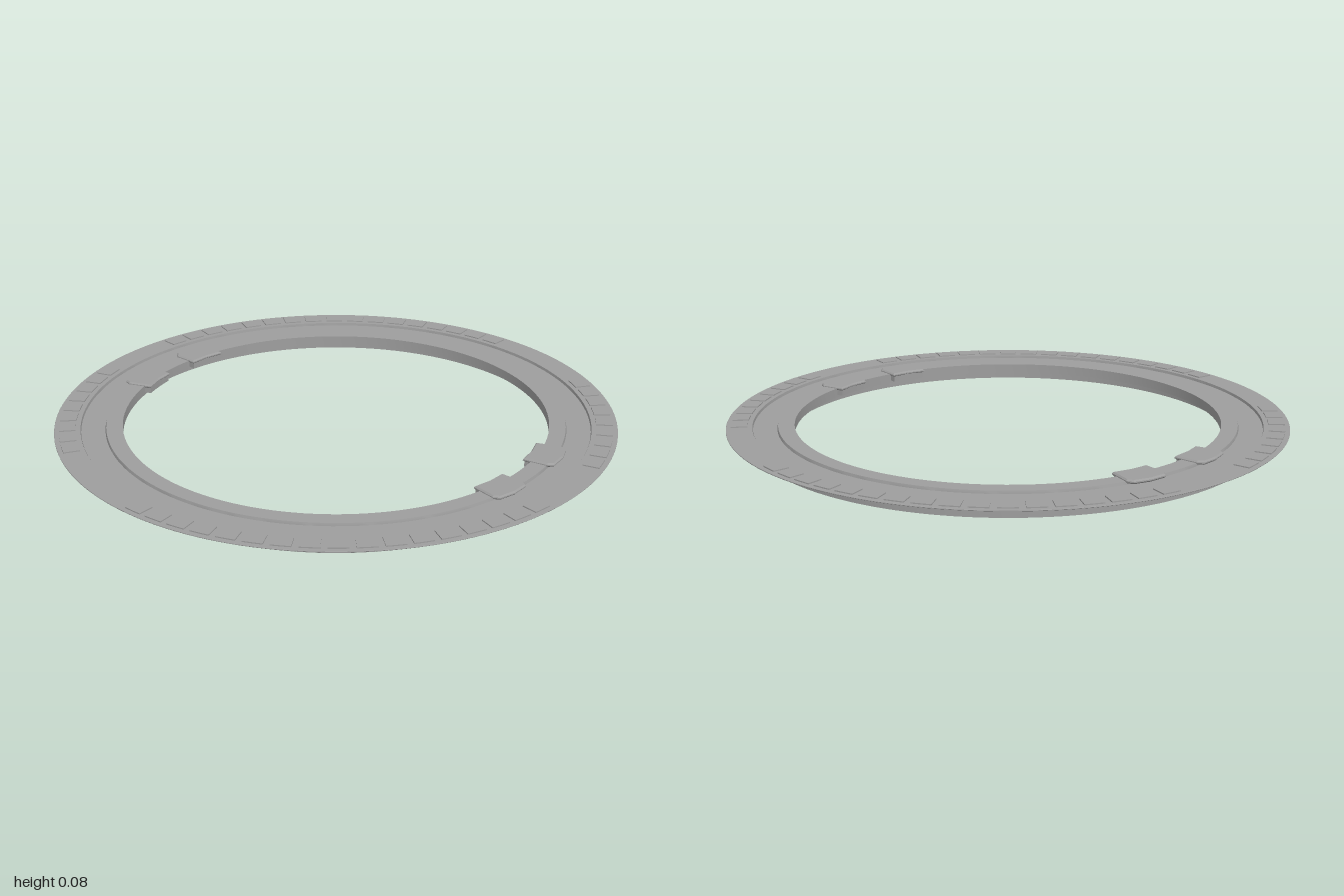
import * as THREE from 'three';
import { toCreasedNormals } from 'three/addons/utils/BufferGeometryUtils.js';

const material = new THREE.MeshStandardMaterial({ color: 0x9e9e9e });
const deg = Math.PI / 180;

// Extrudes a shape drawn in (x, z) between heights y0 and y1
function slab(shape, y0, y1, curveSegments, bevel = 0) {
  const geo = new THREE.ExtrudeGeometry(shape, {
    depth: y1 - y0 - 2 * bevel, curveSegments, bevelEnabled: bevel > 0,
    bevelThickness: bevel, bevelSize: bevel, bevelOffset: -bevel, bevelSegments: 1,
  });
  geo.rotateX(Math.PI / 2);
  geo.translate(0, y1 - bevel, 0);
  return geo;
}

// Ring segment; angles in degrees from +x towards +z
function sector(r0, r1, a0, a1) {
  const shape = new THREE.Shape();
  shape.absarc(0, 0, r1, a0 * deg, a1 * deg, false);
  shape.absarc(0, 0, r0, a1 * deg, a0 * deg, true);
  return shape;
}

function part(name, geo) {
  const mesh = new THREE.Mesh(geo, material);
  mesh.name = name;
  return mesh;
}

export function createModel() {
  const model = new THREE.Group();
  model.name = 'trimRing';

  // Thin-walled ring: flange, shallow groove, two skirts and inner lip
  const profile = [
    [0.82, 0.056], [0.9, 0.056], [0.9, 0.012], [0.906, 0.012], [0.906, 0.066],
    [0.999, 0.066], [1, 0.067], [1, 0.069], [0.999, 0.07],
    [0.908, 0.07], [0.906, 0.06], [0.821, 0.06], [0.818, 0.07],
    [0.76, 0.07], [0.76, 0.035], [0.765, 0.035], [0.765, 0.064],
    [0.814, 0.064], [0.814, 0], [0.82, 0], [0.82, 0.056],
  ].map(([r, y]) => new THREE.Vector2(r, y));
  model.add(part('ring', toCreasedNormals(new THREE.LatheGeometry(profile, 160), 0.5)));

  // Rows of small pads through the flange, repeated on opposite halves
  const pads = new THREE.Group();
  pads.name = 'flangePads';
  const pitch = 5.2;
  for (const half of [0, 180]) {
    for (const [start, count] of [[9, 17], [124, 9]]) {
      for (let i = 0; i < count; i++) {
        const a = half + start + i * pitch;
        pads.add(part('flangePad', slab(sector(0.925, 0.983, a, a + pitch * 0.75), 0.062, 0.074, 3)));
      }
    }
  }
  model.add(pads);

  // Clip plate outline as [radius, angle], with cut outer corners
  const outline = [
    [0.732, -5.4], [0.822, -5.4], [0.842, -4.3], [0.848, 0],
    [0.842, 4.3], [0.822, 5.4], [0.732, 5.4], [0.735, 0],
  ];

  // Four clips hooked over the inner rim
  for (const half of [0, 180]) {
    for (const a of [9.7, -12]) {
      const c = half + a;
      const plate = new THREE.Shape(outline.map(([r, d]) =>
        new THREE.Vector2(r * Math.cos((c + d) * deg), r * Math.sin((c + d) * deg))));
      const clip = new THREE.Group();
      clip.name = 'clip';
      clip.add(part('clipPlate', slab(plate, 0.064, 0.078, 1, 0.005)));
      clip.add(part('clipHook', slab(sector(0.736, 0.762, c - 5, c + 5), 0.044, 0.07, 6)));
      model.add(clip);
    }
  }
  return model;
}
